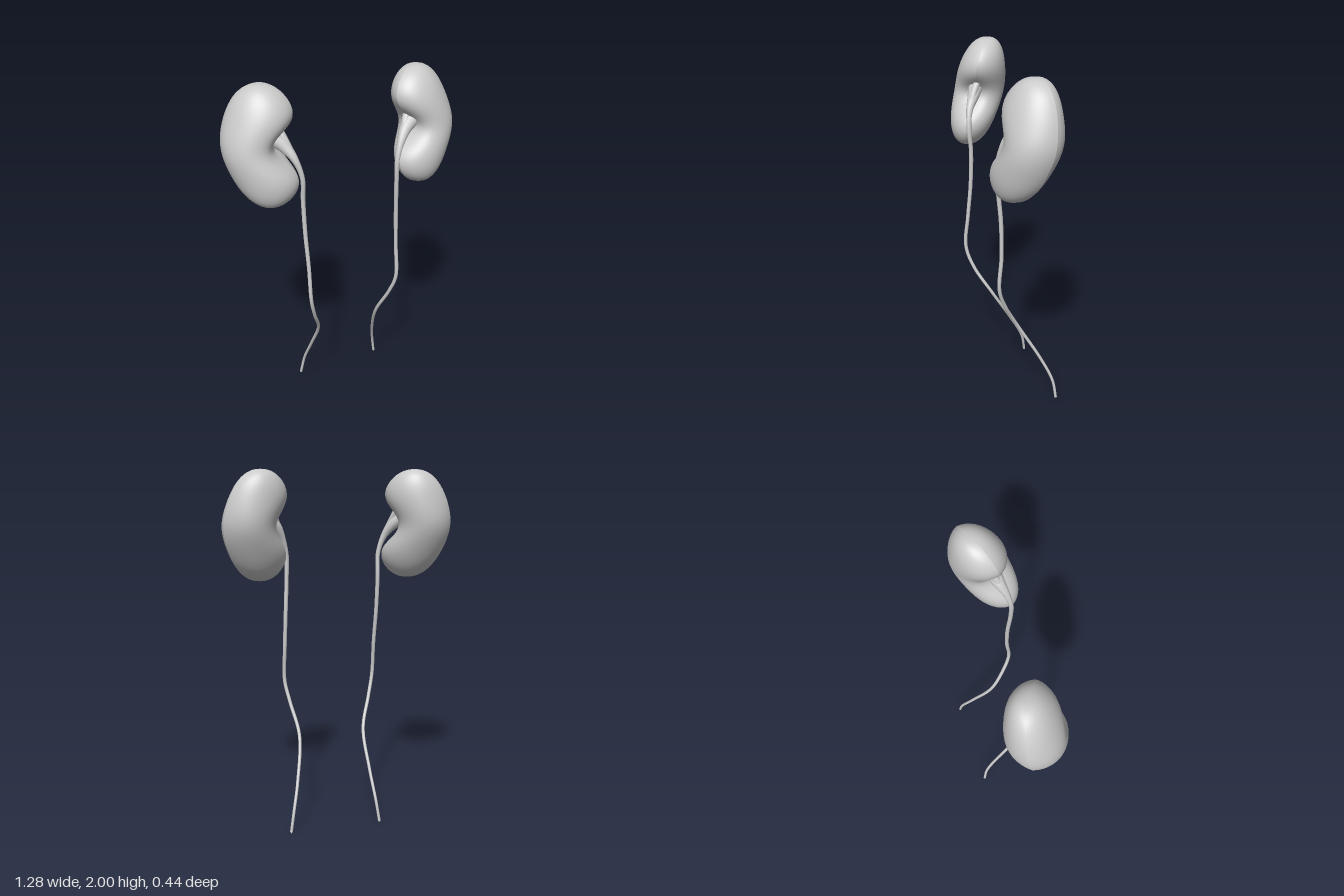
import * as THREE from 'three';

const tissue = new THREE.MeshStandardMaterial({ color: 0xcacaca });
tissue.name = 'grey tissue';

const YAW = 0.43;

// One shell (front or back half) of a bean, lofted from top to bottom; the halves meet in a sharp rim.
function shellGeometry(side, face, cz) {
  const rows = 48, cols = 32, delta = 0.17;
  const pos = [], idx = [];
  for (let i = 0; i <= rows; i++) {
    const u = Math.PI * i / rows, c = Math.cos(u), s = Math.sin(u);
    const waist = Math.exp(-((c / 0.42) ** 2));
    const halfWidth = Math.pow(s, 0.92) * (0.208 - 0.05 * waist);
    const mid = -0.034 + 0.068 * waist;
    const depth = 0.143 * Math.pow(s, 0.8);
    const y = 1.695 + 0.305 * c;
    for (let j = 0; j <= cols; j++) {
      const t = delta + (Math.PI - 2 * delta) * j / cols;
      const cos = Math.cos(t) / Math.cos(delta);
      // hollow at the inner edge, broader on the front shell
      const dent = 0.045 * Math.exp(-((c / 0.28) ** 2)) * Math.max(0, -cos) ** (face > 0 ? 4 : 9);
      const lx = mid + halfWidth * cos + dent;
      const lz = face * depth * (Math.sin(t) - Math.sin(delta)) / (1 - Math.sin(delta));
      const x = 0.457 + lx * Math.cos(YAW) + lz * Math.sin(YAW);
      const z = cz - lx * Math.sin(YAW) + lz * Math.cos(YAW) - 0.2 * (y - 1.695);
      pos.push(side * x, y, z);
    }
  }
  const w = cols + 1;
  for (let i = 0; i < rows; i++) for (let j = 0; j < cols; j++) {
    const a = i * w + j, b = a + 1, c = a + w, d = c + 1;
    if (side * face > 0) idx.push(a, b, c, b, d, c);
    else idx.push(a, c, b, b, c, d);
  }
  const g = new THREE.BufferGeometry();
  g.setAttribute('position', new THREE.Float32BufferAttribute(pos, 3));
  g.setIndex(idx);
  g.computeVertexNormals();
  return g;
}

// Tube whose radius follows a function of the fraction along its path; the far end is closed.
function taperedTube(points, radiusAt, n) {
  const path = new THREE.CatmullRomCurve3(points.map(p => new THREE.Vector3(...p)));
  const radial = 14, g = new THREE.TubeGeometry(path, n, 1, radial);
  const p = g.attributes.position, v = new THREE.Vector3();
  for (let i = 0; i <= n; i++) {
    const centre = path.getPointAt(i / n);
    const r = i === n ? 0 : radiusAt(i / n);
    for (let j = 0; j <= radial; j++) {
      const k = i * (radial + 1) + j;
      v.fromBufferAttribute(p, k).sub(centre).multiplyScalar(r).add(centre);
      p.setXYZ(k, v.x, v.y, v.z);
    }
  }
  return g;
}

function addMesh(group, geometry, name) {
  const m = new THREE.Mesh(geometry, tissue);
  m.name = name;
  group.add(m);
}

const ducts = {
  left: [[0.385, 1.73, 0.055], [0.34, 1.69, 0.075], [0.3, 1.62, 0.105], [0.275, 1.53, 0.125],
    [0.276, 1.4, 0.125], [0.286, 1.2, 0.112], [0.294, 1, 0.112], [0.296, 0.8, 0.125],
    [0.272, 0.68, 0.09], [0.232, 0.5, 0], [0.265, 0.27, -0.13], [0.298, 0.12, -0.197], [0.318, 0, -0.215]],
  right: [[-0.385, 1.74, 0.075], [-0.34, 1.7, 0.1], [-0.295, 1.63, 0.135], [-0.263, 1.53, 0.148],
    [-0.26, 1.4, 0.14], [-0.255, 1.2, 0.148], [-0.247, 1, 0.17], [-0.243, 0.8, 0.188],
    [-0.213, 0.67, 0.15], [-0.158, 0.5, 0.05], [-0.168, 0.3, -0.065], [-0.188, 0.13, -0.15], [-0.206, 0, -0.175]],
};

export function createModel() {
  const model = new THREE.Group();
  model.name = 'kidneys';
  for (const [name, side, cz] of [['left', 1, 0.022], ['right', -1, 0.045]]) {
    const group = new THREE.Group();
    group.name = name + 'Kidney';
    addMesh(group, shellGeometry(side, 1, cz), name + 'KidneyFront');
    addMesh(group, shellGeometry(side, -1, cz), name + 'KidneyBack');

    // long duct, widening into a funnel at the hollow
    const pts = ducts[name];
    addMesh(group, taperedTube(pts, t => 0.008 + 0.005 * (1 - t) + 0.026 * Math.exp(-((t / 0.07) ** 2)), 260), name + 'Ureter');

    // short upper branch of the funnel, running into the hollow
    const [fx, fy, fz] = pts[2];
    addMesh(group, taperedTube(
      [[fx, fy, fz], [fx + side * 0.03, fy + 0.08, fz - 0.03], [fx + side * 0.07, fy + 0.17, fz - 0.075]],
      t => 0.016 + 0.006 * t, 24), name + 'FunnelBranch');
    model.add(group);
  }
  return model;
}
